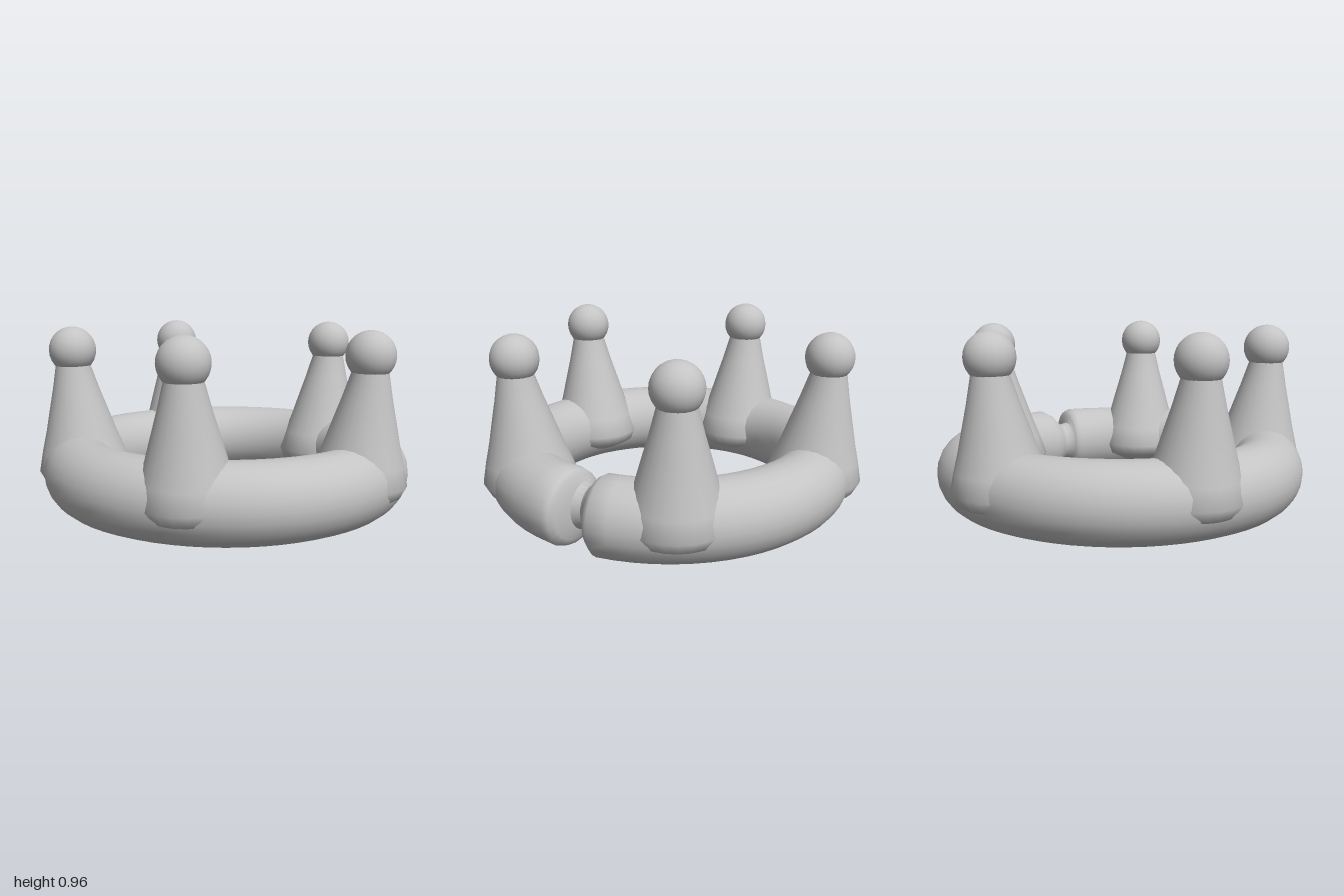
import * as THREE from 'three';
import { toCreasedNormals } from 'three/addons/utils/BufferGeometryUtils.js';

const CENTER_Z = -0.02;
const RING_Y = 0.197;

// Split ring: loops of [angle in degrees, centre radius, half width, half height]
function ringGeometry() {
  const R = 0.79, W = 0.19, H = 0.197, SIDES = 24, STEPS = 60;
  const loops = [];
  for (let i = 0; i <= STEPS; i++) loops.push([30 + (345 * i) / STEPS, R, W, H]);
  loops.push(
    [377.2, 0.785, 0.185, 0.185], [378.2, 0.775, 0.165, 0.16], // front end
    [379.2, 0.735, 0.11, 0.12], [382.5, 0.735, 0.1, 0.11],     // thin neck
    [385, 0.745, 0.125, 0.135], [387.5, 0.77, 0.17, 0.175],    // back end
  );
  const positions = [], index = [];
  for (const [deg, r, w, h] of loops) {
    const a = THREE.MathUtils.degToRad(deg);
    for (let j = 0; j < SIDES; j++) {
      const t = (j / SIDES) * Math.PI * 2;
      const rad = r + w * Math.cos(t);
      positions.push(rad * Math.cos(a), RING_Y + h * Math.sin(t), CENTER_Z - rad * Math.sin(a));
    }
  }
  const n = loops.length;
  for (let i = 0; i < n; i++) {
    for (let j = 0; j < SIDES; j++) {
      const k = (j + 1) % SIDES, m = (i + 1) % n;
      const a = i * SIDES + j, b = m * SIDES + j, c = m * SIDES + k, d = i * SIDES + k;
      index.push(a, b, c, a, c, d);
    }
  }
  const g = new THREE.BufferGeometry();
  g.setAttribute('position', new THREE.Float32BufferAttribute(positions, 3));
  g.setIndex(index);
  return toCreasedNormals(g, 0.9);
}

// Tapered point whose base leans towards the middle of the ring (local +z is outward)
function spikeGeometry() {
  const profile = [
    [0, 0.09], [0.14, 0.09], [0.225, 0.135], [0.25, 0.19], [0.222, 0.29],
    [0.19, 0.39], [0.165, 0.48], [0.125, 0.62], [0.092, 0.75], [0.085, 0.79],
  ].map(([x, y]) => new THREE.Vector2(x, y));
  const g = new THREE.LatheGeometry(profile, 24);
  const p = g.attributes.position;
  for (let i = 0; i < p.count; i++) {
    p.setZ(i, p.getZ(i) - 0.1 * Math.max(0, 0.76 - p.getY(i)));
  }
  return toCreasedNormals(g, 0.8);
}

export function createModel() {
  const model = new THREE.Group();
  model.name = 'crown';
  const grey = new THREE.MeshStandardMaterial({ color: 0xc4c4c4 });
  grey.name = 'plain grey';

  const add = (parent, geometry, name) => {
    const mesh = new THREE.Mesh(geometry, grey);
    mesh.name = name;
    parent.add(mesh);
    return mesh;
  };

  add(model, ringGeometry(), 'splitRing');

  // Five points, each topped with a ball
  const spike = spikeGeometry();
  const ball = new THREE.SphereGeometry(0.124, 20, 14);
  const points = [
    ['front', 0, 0.8], ['left', 0.78, 0.23], ['right', -0.78, 0.23],
    ['backLeft', 0.485, -0.7], ['backRight', -0.485, -0.7],
  ];
  for (const [name, x, z] of points) {
    const point = new THREE.Group();
    point.name = name + 'Point';
    point.position.set(x, 0, z);
    point.rotation.y = Math.atan2(x, z - CENTER_Z);
    add(point, spike, name + 'Spike');
    add(point, ball, name + 'Ball').position.y = 0.832;
    model.add(point);
  }
  return model;
}
